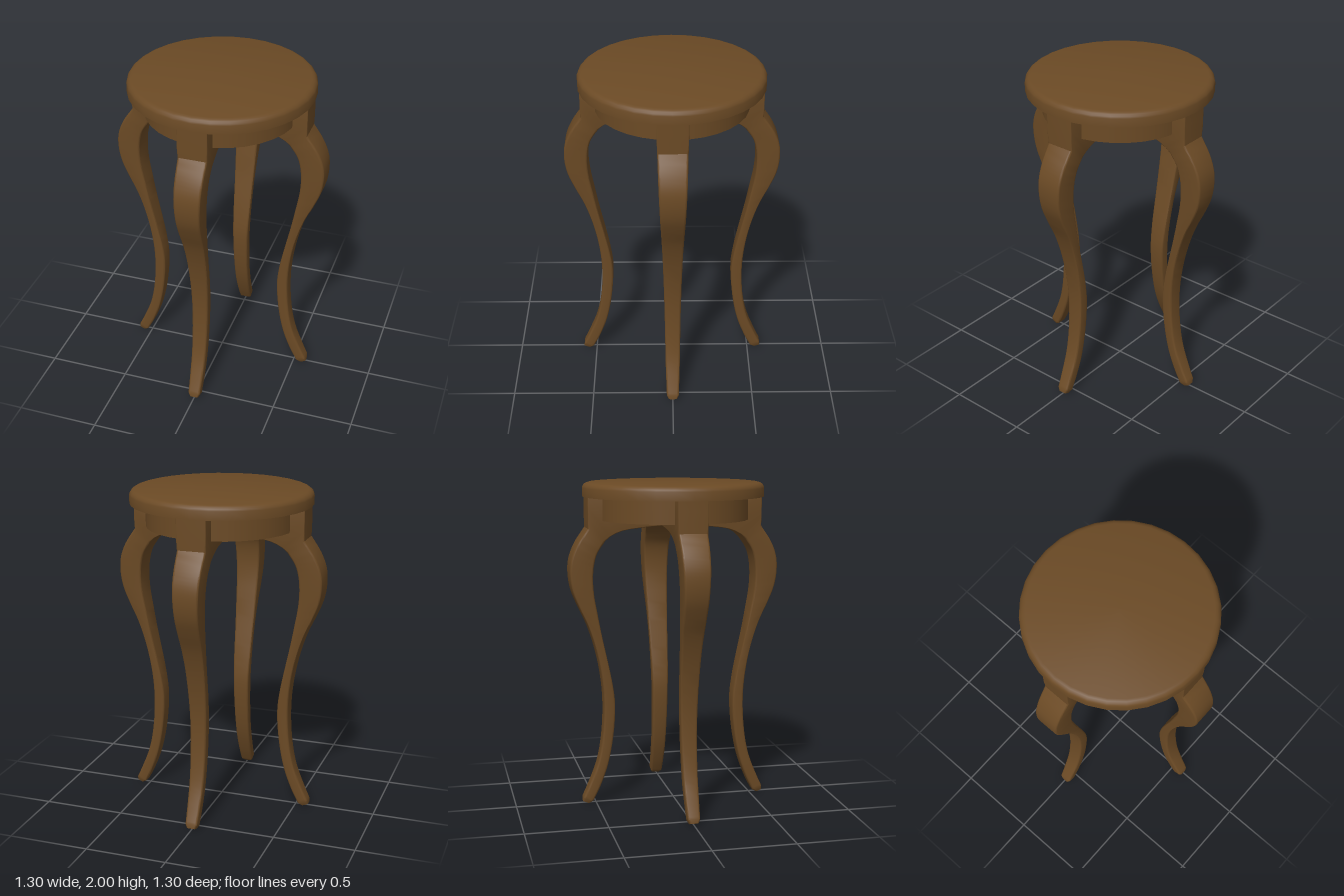
import * as THREE from 'three';
import { toCreasedNormals } from 'three/addons/utils/BufferGeometryUtils.js';

const CREASE = 0.5;

// Smooth curve through [x, y] points
const curve = (pts) => new THREE.CatmullRomCurve3(pts.map(([x, y]) => new THREE.Vector3(x, y, 0)));

// Half the leg's width at a given height
function halfWidth(y) {
  const steps = [[0, 0.037], [0.2, 0.044], [0.6, 0.05], [1, 0.06], [1.45, 0.078], [1.75, 0.09], [3, 0.09]];
  for (let i = 1; i < steps.length; i++) {
    const [y0, w0] = steps[i - 1], [y1, w1] = steps[i];
    if (y <= y1) return THREE.MathUtils.mapLinear(Math.max(y, 0), y0, y1, w0, w1);
  }
}

// Rounded rectangle spanning from the inner to the outer edge of the leg
function ring(outer, inner, w, r) {
  const mid = outer.clone().add(inner).multiplyScalar(0.5);
  const dir = outer.clone().sub(inner);
  const h = dir.length() / 2;
  dir.normalize();
  const pts = [];
  [[1, 1], [-1, 1], [-1, -1], [1, -1]].forEach(([sa, sb], q) => {
    for (let k = 0; k <= 4; k++) {
      const t = (q + k / 4) * Math.PI / 2;
      const a = sa * (h - r) + r * Math.cos(t);
      const b = sb * (w - r) + r * Math.sin(t);
      pts.push(new THREE.Vector3(mid.x + dir.x * a, mid.y + dir.y * a, b));
    }
  });
  return pts;
}

// Cabriole leg, foot to shoulder, then inward as a cross beam to the centre
function legGeometry() {
  const outer = curve([[0.585, 0.03], [0.542, 0.124], [0.49, 0.257], [0.458, 0.42], [0.446, 0.63], [0.458, 0.8],
    [0.49, 0.97], [0.54, 1.13], [0.595, 1.25], [0.634, 1.35], [0.649, 1.45], [0.642, 1.54], [0.607, 1.63], [0.54, 1.73]]);
  const inner = curve([[0.525, 0.006], [0.478, 0.1], [0.425, 0.247], [0.39, 0.43], [0.377, 0.63], [0.392, 0.76],
    [0.42, 0.9], [0.455, 1.06], [0.482, 1.2], [0.503, 1.32], [0.51, 1.42], [0.503, 1.51], [0.483, 1.58], [0.436, 1.652]]);

  const rings = [];
  const add = (o, i, inset = 0, r = 0.013) => {
    const w = halfWidth((o.y + i.y) / 2);
    const c = o.clone().add(i).multiplyScalar(0.5);
    const s = 1 - inset;
    rings.push(ring(o.clone().sub(c).multiplyScalar(s).add(c), i.clone().sub(c).multiplyScalar(s).add(c), w * s, r));
  };

  // Eased foot end
  const foot = new THREE.Vector3(0.008, -0.012, 0);
  add(outer.getPoint(0).add(foot), inner.getPoint(0).add(foot), 0.3, 0.01);
  const N = 52;
  for (let k = 0; k <= N; k++) {
    const t = k === 0 ? 0.008 : k / N;
    add(outer.getPoint(t), inner.getPoint(t));
  }
  // Shoulder block and beam
  [[0.54, 1.79, 0.408, 1.68], [0.54, 1.85, 0.37, 1.70], [0.54, 1.92, 0.33, 1.714], [0.4, 1.92, 0.28, 1.723],
    [0.2, 1.92, 0.18, 1.734], [0, 1.92, 0, 1.746]].forEach(([ox, oy, ix, iy]) =>
    add(new THREE.Vector3(ox, oy, 0), new THREE.Vector3(ix, iy, 0), 0, 0.005));

  // Skin the rings and close the foot
  const n = rings[0].length;
  const pos = rings.flat().flatMap((p) => [p.x, Math.max(p.y, 0), p.z]);
  const idx = [];
  for (let k = 0; k < rings.length - 1; k++) {
    for (let i = 0; i < n; i++) {
      const j = (i + 1) % n;
      const a = k * n + i, b = (k + 1) * n + i, c = (k + 1) * n + j, d = k * n + j;
      idx.push(a, b, c, a, c, d);
    }
  }
  for (let i = 1; i < n - 1; i++) idx.push(0, i, i + 1);
  const g = new THREE.BufferGeometry();
  g.setAttribute('position', new THREE.Float32BufferAttribute(pos, 3));
  g.setIndex(idx);
  return toCreasedNormals(g, CREASE);
}

export function createModel() {
  const group = new THREE.Group();
  group.name = 'stool';
  const wood = new THREE.MeshStandardMaterial({ color: 0x6b4a25 });
  wood.name = 'brown wood';

  const add = (name, geometry) => {
    const mesh = new THREE.Mesh(geometry, wood);
    mesh.name = name;
    group.add(mesh);
    return mesh;
  };

  // Round seat with a softened upper edge
  const profile = [[0, 1.915], [0.556, 1.915], [0.556, 1.968], [0.552, 1.979], [0.544, 1.989],
    [0.534, 1.996], [0.52, 2], [0, 2]].map(([x, y]) => new THREE.Vector2(x, y));
  add('seat', toCreasedNormals(new THREE.LatheGeometry(profile, 32), CREASE));

  // Apron drum under the seat
  const apron = new THREE.CylinderGeometry(0.46, 0.46, 0.145, 32);
  apron.translate(0, 1.8475, 0);
  add('apron', apron);

  // Four legs
  const leg = legGeometry();
  ['leftLeg', 'backLeg', 'rightLeg', 'frontLeg'].forEach((name, i) => {
    add(name, leg).rotation.y = i * Math.PI / 2;
  });
  return group;
}
